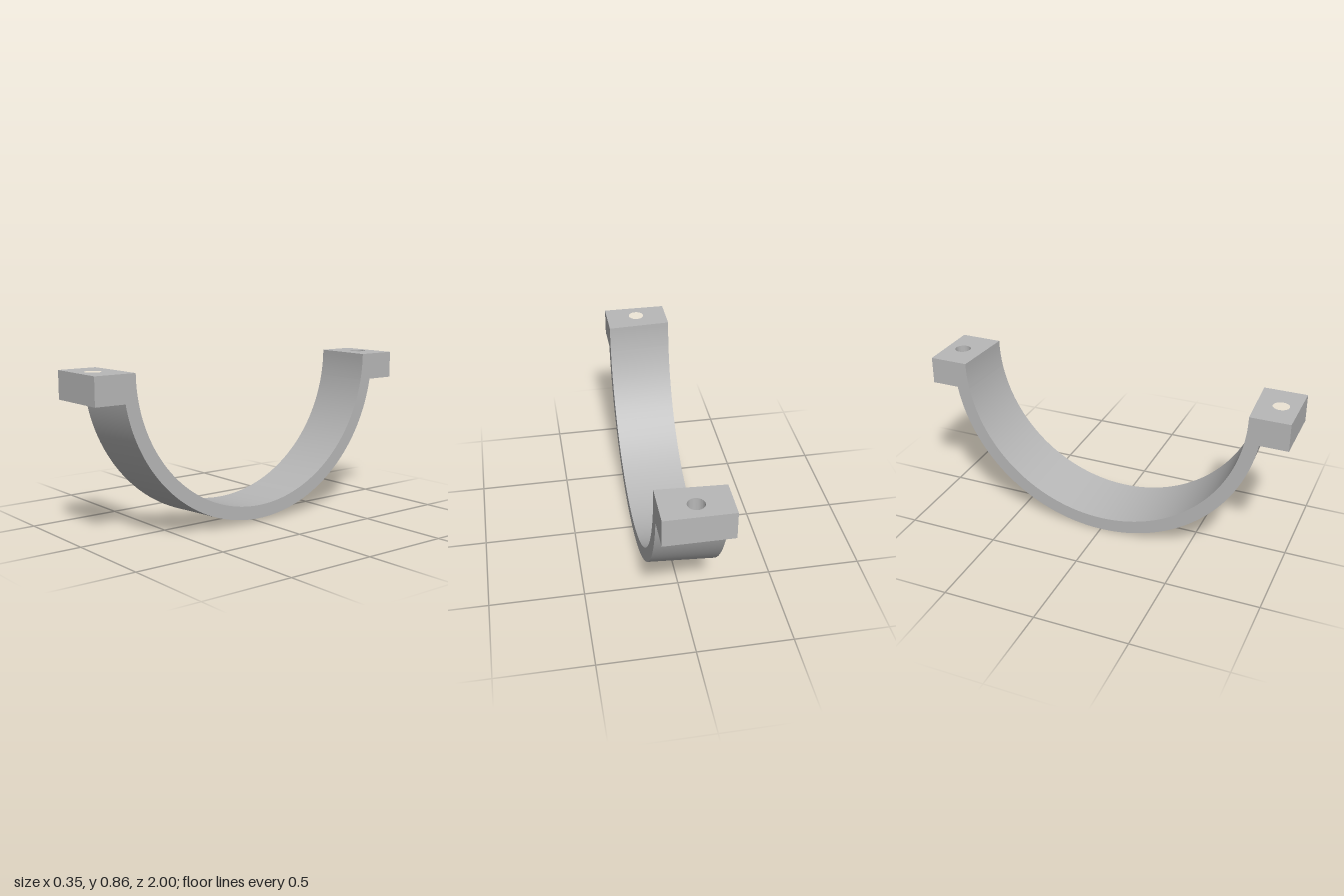
import * as THREE from 'three';
import { toCreasedNormals } from 'three/addons/utils/BufferGeometryUtils.js';

const HALF_W = 0.174;     // half width of the strap along x
const TOP = 0.863;        // top plane, also the height of the arc's axis
const LUG_H = 0.147;      // thickness of the bolting lugs

// The strap is slightly conical: wider at -x than at +x
const taper = (x) => -0.009 * (x / HALF_W);
const innerR = (x) => 0.781 + taper(x);
const outerR = (x) => 0.854 + taper(x);

// Curved strap: a long box bent around the x axis, ending under the lugs
function strapGeometry() {
  const g = new THREE.BoxGeometry(2 * HALF_W, 1, 1, 1, 1, 96);
  const p = g.attributes.position;
  for (let i = 0; i < p.count; i++) {
    const x = p.getX(i);
    const r = p.getY(i) > 0 ? innerR(x) : outerR(x);
    const angle = p.getZ(i) * (Math.PI - 2 * Math.asin(LUG_H / r));
    p.setXYZ(i, x, TOP - r * Math.cos(angle), r * Math.sin(angle));
  }
  return toCreasedNormals(g, 0.6);
}

// Drilled lug whose inner face continues the conical bore
function lugGeometry(side) {
  const shape = new THREE.Shape([
    new THREE.Vector2(-HALF_W, -side * 0.79),
    new THREE.Vector2(HALF_W, -side * 0.77),
    new THREE.Vector2(HALF_W, -side),
    new THREE.Vector2(-HALF_W, -side),
  ]);
  const hole = new THREE.Path();
  hole.absarc(0, -side * 0.906, 0.043, 0, Math.PI * 2, true);
  shape.holes.push(hole);

  const g = new THREE.ExtrudeGeometry(shape, {
    depth: LUG_H, steps: 6, bevelEnabled: false, curveSegments: 24,
  });
  g.rotateX(-Math.PI / 2);
  g.translate(0, TOP - LUG_H, 0);
  const p = g.attributes.position;
  for (let i = 0; i < p.count; i++) {
    if (Math.abs(p.getZ(i)) > 0.82) continue;
    p.setZ(i, side * Math.sqrt(innerR(p.getX(i)) ** 2 - (TOP - p.getY(i)) ** 2));
  }
  return toCreasedNormals(g, 0.6);
}

export function createModel() {
  const metal = new THREE.MeshStandardMaterial({ color: 0xb8b8b8 });
  metal.name = 'grey metal';

  const model = new THREE.Group();
  model.name = 'pipeClamp';
  const add = (name, geometry) => {
    const mesh = new THREE.Mesh(geometry, metal);
    mesh.name = name;
    model.add(mesh);
  };
  add('curvedStrap', strapGeometry());
  add('frontLug', lugGeometry(1));
  add('backLug', lugGeometry(-1));
  return model;
}
